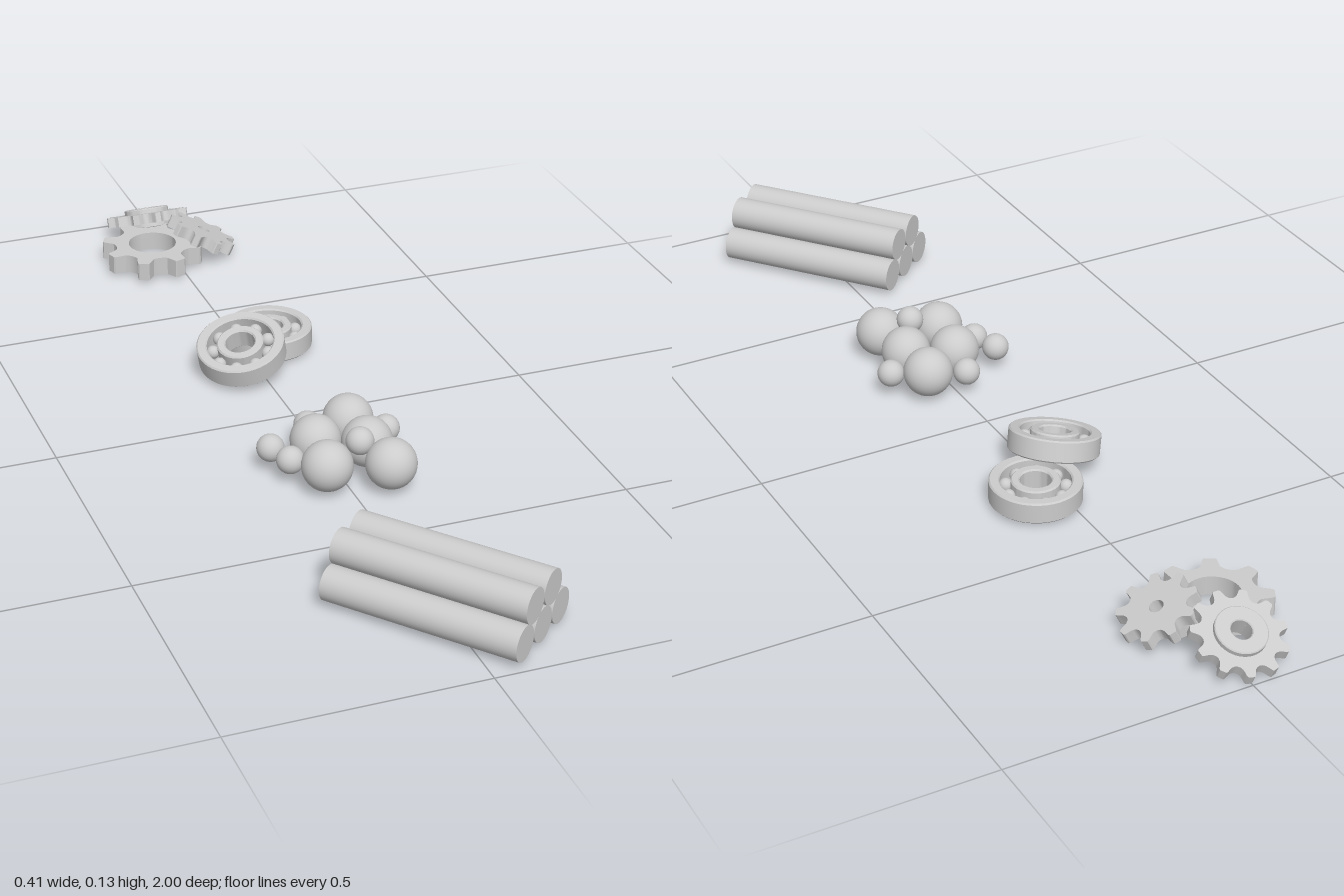
import * as THREE from 'three';
import { toCreasedNormals } from 'three/addons/utils/BufferGeometryUtils.js';

const material = new THREE.MeshStandardMaterial({ color: 0xcccccc });
const UP = new THREE.Vector3(0, 1, 0);

function part(parent, name, geometry, x = 0, y = 0, z = 0) {
  const mesh = new THREE.Mesh(geometry, material);
  mesh.name = name;
  mesh.position.set(x, y, z);
  parent.add(mesh);
  return mesh;
}

function cluster(parent, name, position = [0, 0, 0], normal = [0, 1, 0]) {
  const group = new THREE.Group();
  group.name = name;
  group.position.set(...position);
  group.quaternion.setFromUnitVectors(UP, new THREE.Vector3(...normal).normalize());
  parent.add(group);
  return group;
}

// Chamfered ring with a rectangular section, centred on its own axis
function ring(inner, outer, height, c = 0.003) {
  const h = height / 2;
  const section = [
    [inner, -h + c], [inner + c, -h], [outer - c, -h], [outer, -h + c],
    [outer, h - c], [outer - c, h], [inner + c, h], [inner, h - c], [inner, -h + c],
  ].map(([r, y]) => new THREE.Vector2(r, y));
  return toCreasedNormals(new THREE.LatheGeometry(section, 48), 0.5);
}

// Toothed wheel lying flat, centred on its own axis
function gear({ teeth, root, tip, bore, height, phase = 0 }) {
  const step = (Math.PI * 2) / teeth;
  const points = [];
  for (let i = 0; i < teeth; i++) {
    // tooth flanks, then the rounded gullet floor
    for (const [t, r] of [
      [-0.27, root + 0.004], [-0.21, (root + tip) / 2], [-0.15, tip - 0.002], [-0.11, tip],
      [0.11, tip], [0.15, tip - 0.002], [0.21, (root + tip) / 2], [0.27, root + 0.004],
      [0.38, root], [0.5, root - 0.001], [0.62, root],
    ]) {
      const a = phase + (i + t) * step;
      points.push(new THREE.Vector2(Math.cos(a) * r, Math.sin(a) * r));
    }
  }
  const shape = new THREE.Shape(points);
  shape.holes.push(new THREE.Path().absarc(0, 0, bore, 0, Math.PI * 2, true));
  const geometry = new THREE.ExtrudeGeometry(shape, { depth: height, bevelEnabled: false, curveSegments: 20 });
  geometry.translate(0, 0, -height / 2).rotateX(-Math.PI / 2);
  return toCreasedNormals(geometry, 0.5);
}

// Five round bars: three below, two nested on top
function addBars(model) {
  const bars = cluster(model, 'barStack', [-0.002, 0, 0.778]);
  bars.rotation.y = 0.685;
  const geometry = new THREE.CylinderGeometry(0.0345, 0.0345, 0.394, 40).rotateX(Math.PI / 2);
  for (const x of [-0.071, 0, 0.071]) part(bars, 'lowerBar', geometry, x, 0.0425, 0);
  for (const x of [-0.0355, 0.0355]) part(bars, 'upperBar', geometry, x, 0.101, 0);
}

// Loose pile of large and small balls
function addBalls(model) {
  const pile = cluster(model, 'ballPile');
  const large = new THREE.SphereGeometry(0.051, 32, 20);
  const small = new THREE.SphereGeometry(0.028, 24, 16);
  for (const [x, z] of [[0.06, 0.146], [-0.03, 0.203], [0.062, 0.244], [-0.045, 0.307], [0.074, 0.341]])
    part(pile, 'largeBall', large, x, 0.06, z);
  for (const [x, y, z] of [
    [-0.018, 0.05, 0.125], [-0.118, 0.05, 0.187], [-0.098, 0.05, 0.245], [0.123, 0.05, 0.191], [0.025, 0.097, 0.299],
  ]) part(pile, 'smallBall', small, x, y, z);
}

// Ball bearing: two races with rolling balls between them
function addBearing(model, name, position, normal) {
  const bearing = cluster(model, name, position, normal);
  part(bearing, 'outerRace', ring(0.07, 0.092, 0.045));
  part(bearing, 'innerRace', ring(0.031, 0.049, 0.045));
  const ball = new THREE.SphereGeometry(0.014, 20, 14);
  const count = 9;
  for (let i = 0; i < count; i++) {
    const a = (i / count) * Math.PI * 2;
    part(bearing, 'rollingBall', ball, Math.cos(a) * 0.0595, 0, Math.sin(a) * 0.0595);
  }
}

// One flat gear with two others leaning on it
function addGears(model) {
  const pile = cluster(model, 'gearPile');
  const flat = cluster(pile, 'flatGear', [-0.05, 0.029, -0.785]);
  part(flat, 'wideGear', gear({ teeth: 8, root: 0.083, tip: 0.112, bore: 0.053, height: 0.04, phase: 0.3 }));

  const side = cluster(pile, 'leaningGear', [0.067, 0.051, -0.787], [Math.sin(0.46), Math.cos(0.46), 0]);
  part(side, 'smallGear', gear({ teeth: 9, root: 0.058, tip: 0.079, bore: 0.014, height: 0.026 }));

  const back = cluster(pile, 'hubbedGear', [-0.02, 0.049, -0.917], [0, Math.cos(0.42), -Math.sin(0.42)]);
  part(back, 'toothedPlate', gear({ teeth: 11, root: 0.073, tip: 0.092, bore: 0.02, height: 0.022, phase: 0.15 }));
  part(back, 'hub', ring(0.02, 0.05, 0.044, 0.002));
}

export function createModel() {
  const model = new THREE.Group();
  model.name = 'workshopParts';
  addBars(model);
  addBalls(model);
  addBearing(model, 'flatBearing', [0.055, 0.032, -0.305], [0, 1, 0]);
  addBearing(model, 'tiltedBearing', [-0.04, 0.06, -0.207], [-0.21, 0.955, 0.21]);
  addGears(model);
  return model;
}
